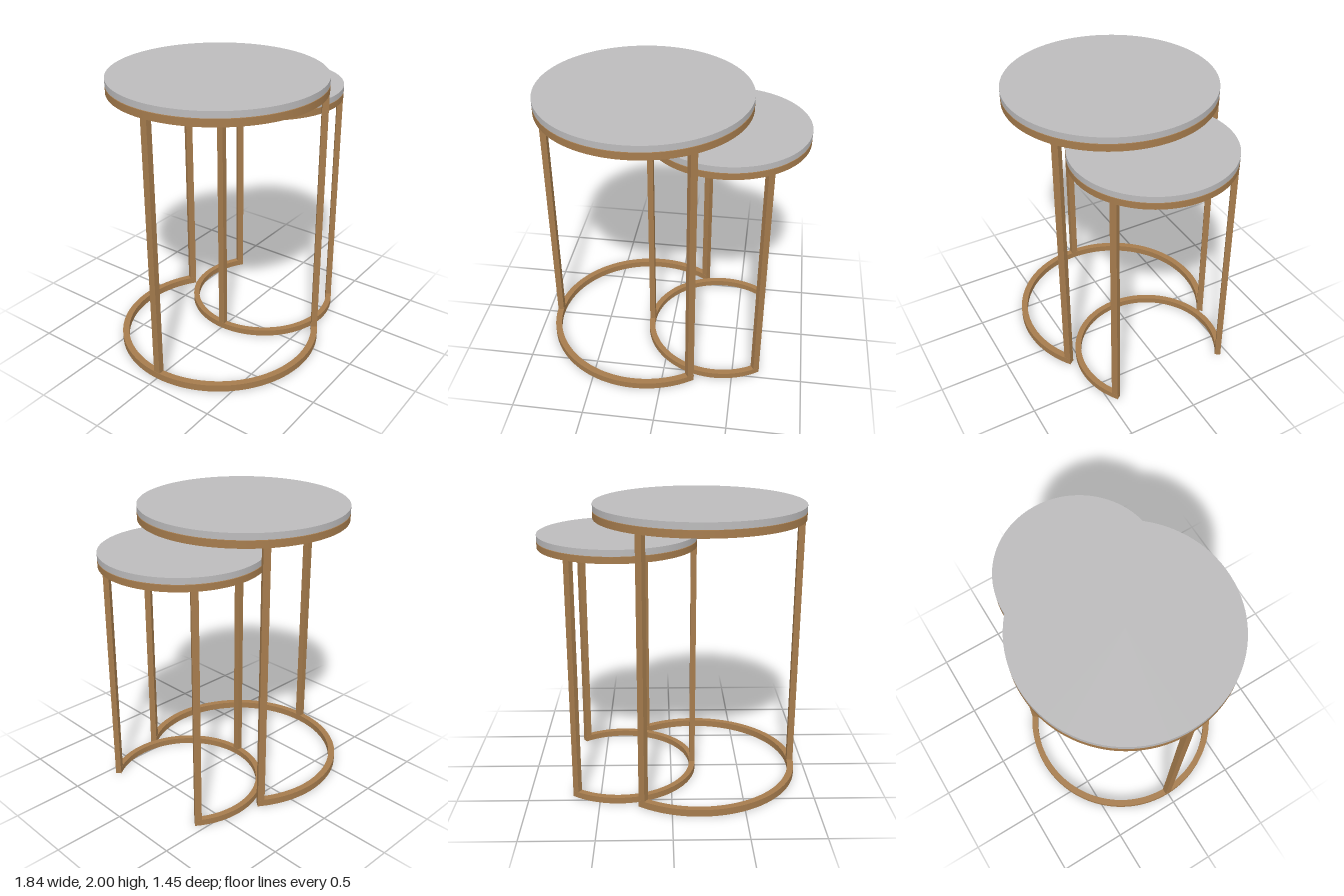
import * as THREE from 'three';
import { toCreasedNormals } from 'three/addons/utils/BufferGeometryUtils.js';

const brass = new THREE.MeshStandardMaterial({ color: 0xa67c4d });
brass.name = 'brass';
const stone = new THREE.MeshStandardMaterial({ color: 0xbcbbbc });
stone.name = 'greyStone';

// Flat band from angle "gap" round to "-gap"; gap 0 gives a full ring
function ring(radius, width, height, gap) {
  const shape = new THREE.Shape();
  const inner = radius - width;
  if (gap > 0) {
    shape.absarc(0, 0, radius, gap, Math.PI * 2 - gap, false);
    shape.absarc(0, 0, inner, Math.PI * 2 - gap, gap, true);
  } else {
    shape.absarc(0, 0, radius, 0, Math.PI * 2, false);
    shape.holes.push(new THREE.Path().absarc(0, 0, inner, 0, Math.PI * 2, true));
  }
  const geo = new THREE.ExtrudeGeometry(shape, { depth: height, bevelEnabled: false, curveSegments: 80 });
  geo.rotateX(-Math.PI / 2);
  return toCreasedNormals(geo, 0.5);
}

function createTable({ name, x, radius, width, legWidth, bar, frameBottom, topBottom, top }) {
  const table = new THREE.Group();
  table.name = name;
  table.position.x = x;
  const add = (part, geo, material, y = 0) => {
    const mesh = new THREE.Mesh(geo, material);
    mesh.name = part;
    mesh.position.y = y;
    table.add(mesh);
    return mesh;
  };

  // Round slab, with a shadow gap above its supporting ring
  add('tableTop', new THREE.CylinderGeometry(radius, radius, top - topBottom, 96), stone, (top + topBottom) / 2);
  add('topRing', ring(radius, width, bar, 0), brass, frameBottom);
  const frameTop = frameBottom + bar;
  add('spacer', new THREE.CylinderGeometry(radius - 0.01, radius - 0.01, topBottom - frameTop, 96), stone, (topBottom + frameTop) / 2);

  // Open base ring ending flush with the two outer legs
  const legAngle = THREE.MathUtils.degToRad(56);
  const legRadius = radius - width / 2;
  add('baseRing', ring(radius, width, bar, legAngle - legWidth / 2 / legRadius), brass);

  // Three uprights turned to face the centre
  const legHeight = frameBottom - bar;
  for (const angle of [legAngle, Math.PI, -legAngle]) {
    const leg = add('leg', new THREE.BoxGeometry(width - 0.002, legHeight, legWidth), brass, bar + legHeight / 2);
    leg.position.x = Math.cos(angle) * legRadius;
    leg.position.z = -Math.sin(angle) * legRadius;
    leg.rotation.y = angle;
  }
  return table;
}

export function createModel() {
  const model = new THREE.Group();
  model.name = 'nestingTables';
  model.add(
    createTable({
      name: 'largeTable', x: -0.195, radius: 0.726, width: 0.046, legWidth: 0.048,
      bar: 0.05, frameBottom: 1.902, topBottom: 1.956, top: 2,
    }),
    createTable({
      name: 'smallTable', x: 0.368, radius: 0.548, width: 0.042, legWidth: 0.046,
      bar: 0.044, frameBottom: 1.705, topBottom: 1.753, top: 1.795,
    }),
  );
  return model;
}
